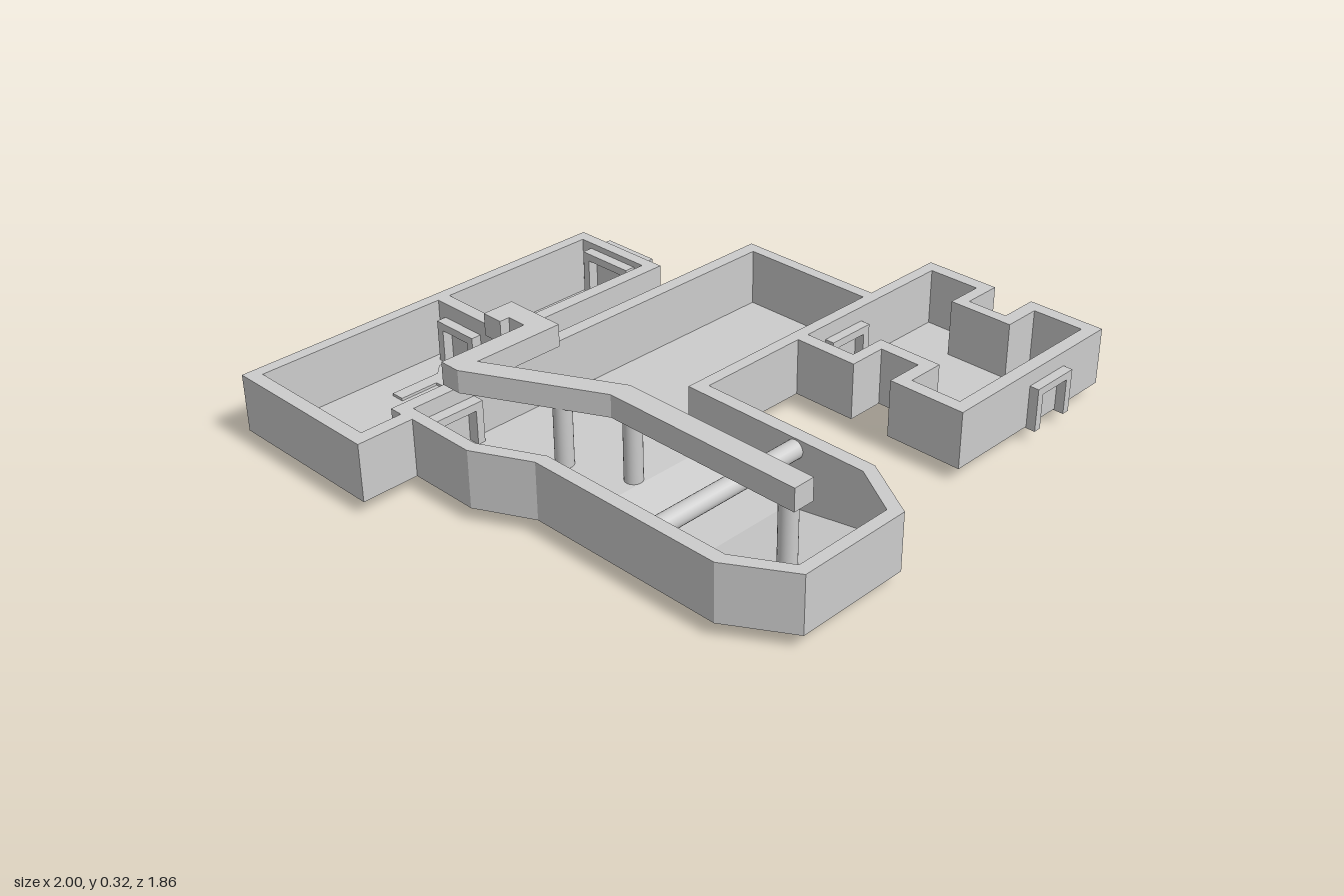
import * as THREE from 'three';

const mat = new THREE.MeshStandardMaterial({ color: 0xcccccc, flatShading: true, side: THREE.DoubleSide });
const smooth = new THREE.MeshStandardMaterial({ color: 0xcccccc });
const BASE = 0.045, TOP = 0.235;

// Plan outlines are [x, z] pairs
const outer = [
  [-1, -0.93], [0.365, -0.93], [0.365, -0.56], [-0.22, -0.56], [-0.245, -0.585], [-0.245, -0.46],
  [0.695, -0.46], [0.695, 0.06], [1, 0.06], [1, 0.32], [0.865, 0.32], [0.865, 0.46], [1, 0.46], [1, 0.725],
  [0.3, 0.725], [0.3, 0.46], [0.43, 0.46], [0.43, 0.32], [0.3, 0.32], [0.3, 0.1], [-0.09, 0.1], [-0.09, 0.725],
  [-0.21, 0.925], [-0.6, 0.925], [-0.72, 0.725], [-0.72, 0.05], [-0.81, -0.13], [-0.81, -0.37], [-1, -0.37],
];
const backRoom = [[-0.955, -0.89], [-0.295, -0.89], [-0.295, -0.46], [-0.815, -0.46], [-0.815, -0.415], [-0.955, -0.415]];
const sideRoom = [[-0.25, -0.89], [0.325, -0.89], [0.325, -0.605], [-0.205, -0.605], [-0.25, -0.645]];
const notchedRoom = [
  [0.345, 0.1], [0.955, 0.1], [0.955, 0.28], [0.825, 0.28], [0.825, 0.505], [0.955, 0.505], [0.955, 0.68],
  [0.345, 0.68], [0.345, 0.505], [0.475, 0.505], [0.475, 0.28], [0.345, 0.28],
];
const hallBack = [[-0.135, 0.12], [-0.135, 0.06], [0.655, 0.06], [0.655, -0.415], [-0.77, -0.415], [-0.77, -0.145], [-0.675, 0.05], [-0.675, 0.12]];
const hallFront = [[-0.675, 0.72], [-0.58, 0.885], [-0.235, 0.885], [-0.135, 0.72]];
const hall = [...hallBack, ...hallFront];

const toShape = pts => new THREE.Shape(pts.map(([x, z]) => new THREE.Vector2(x, -z)));

function add(group, name, geometry, material = mat) {
  const mesh = new THREE.Mesh(geometry, material);
  mesh.name = name;
  group.add(mesh);
  return mesh;
}

// Upright prism from a plan outline
function prism(pts, y0, y1, holes = []) {
  const shape = toShape(pts);
  shape.holes = holes.map(toShape);
  const g = new THREE.ExtrudeGeometry(shape, { depth: y1 - y0, bevelEnabled: false });
  return g.rotateX(-Math.PI / 2).translate(0, y0, 0);
}

// Raised surround of a doorway, standing on a wall face
function doorFrame(group, x, z, width, height, depth, alongZ) {
  const w = width / 2, t = 0.026, y0 = 0.04;
  const s = new THREE.Shape([[-w, y0], [-w, height], [w, height], [w, y0], [w - t, y0],
    [w - t, height - t], [t - w, height - t], [t - w, y0]].map(p => new THREE.Vector2(...p)));
  const g = new THREE.ExtrudeGeometry(s, { depth, bevelEnabled: false }).translate(0, 0, -depth / 2);
  const frame = add(group, 'doorFrame', g);
  frame.position.set(x, 0, z);
  if (alongZ) frame.rotation.y = Math.PI / 2;
}

export function createModel() {
  const model = new THREE.Group();

  add(model, 'walls', prism(outer, BASE, TOP, [backRoom, sideRoom, notchedRoom, hall]));

  // Flat floors
  const floors = { backRoomFloor: backRoom, sideRoomFloor: sideRoom, notchedRoomFloor: notchedRoom, hallFloor: hallBack, hallEndFloor: hallFront };
  for (const [name, pts] of Object.entries(floors)) {
    add(model, name, new THREE.ShapeGeometry(toShape(pts)).rotateX(-Math.PI / 2).translate(0, BASE, 0));
  }

  // Sunken part of the hall floor, with its two sides
  const dip = [[0.12, BASE], [0.29, 0], [0.45, 0], [0.72, BASE]];
  const sheet = new THREE.PlaneGeometry(0.54, 1, 1, 3).rotateX(-Math.PI / 2).translate(-0.405, 0, 0);
  const pos = sheet.attributes.position;
  for (let i = 0; i < pos.count; i++) {
    const [z, y] = dip[Math.floor(i / 2)];
    pos.setXYZ(i, pos.getX(i), y, z);
  }
  sheet.computeVertexNormals();
  add(model, 'sunkenFloor', sheet);
  const dipSide = new THREE.Shape(dip.map(([z, y]) => new THREE.Vector2(-z, y)));
  for (const x of [-0.675, -0.135]) {
    add(model, 'sunkenFloorSide', new THREE.ShapeGeometry(dipSide).rotateY(Math.PI / 2).translate(x, 0, 0));
  }

  // Door frames on both faces of each doorway wall
  for (const z of [-0.4775, -0.395]) doorFrame(model, -0.635, z, 0.17, 0.185, 0.038, false);
  for (const z of [0.04, 0.115]) doorFrame(model, 0.515, z, 0.172, 0.185, 0.036, false);
  for (const z of [0.658, 0.738]) doorFrame(model, 0.717, z, 0.172, 0.185, 0.038, false);
  for (const x of [-0.311, -0.23]) doorFrame(model, x, -0.775, 0.17, 0.185, 0.036, true);
  for (const x of [0.312, 0.388]) doorFrame(model, x, -0.747, 0.205, 0.215, 0.046, true);

  // Low floor channels: comb-shaped in the back room, cranked in the side room
  const comb = [
    [-0.575, -0.785], [-0.4, -0.785], [-0.365, -0.82], [-0.325, -0.82], [-0.325, -0.775], [-0.355, -0.775],
    [-0.395, -0.735], [-0.395, -0.55], [-0.575, -0.55], [-0.575, -0.595], [-0.44, -0.595], [-0.44, -0.65],
    [-0.575, -0.65], [-0.575, -0.695], [-0.44, -0.695], [-0.44, -0.74], [-0.575, -0.74],
  ];
  const crank = [[-0.21, -0.82], [-0.17, -0.82], [-0.085, -0.77], [0.3, -0.77], [0.3, -0.73], [-0.095, -0.73], [-0.18, -0.775], [-0.21, -0.775]];
  add(model, 'combChannel', prism(comb, 0.038, 0.054));
  add(model, 'crankedChannel', prism(crank, 0.038, 0.054));

  // Raised walkway on posts
  const walkway = [
    [-0.355, -0.59], [-0.245, -0.59], [-0.245, -0.375], [-0.56, -0.375], [-0.35, 0.04], [-0.35, 0.73], [-0.425, 0.73],
    [-0.425, 0.04], [-0.635, -0.375], [-0.635, -0.447], [-0.32, -0.447], [-0.32, -0.515], [-0.355, -0.515],
  ];
  add(model, 'walkway', prism(walkway, 0.245, 0.32));
  for (const [x, z] of [[-0.39, 0.68], [-0.39, 0.09], [-0.47, -0.115]]) {
    add(model, 'walkwayPost', new THREE.CylinderGeometry(0.029, 0.029, 0.215, 24), smooth).position.set(x, 0.1375, z);
  }

  // Round beam across the hall
  const beam = add(model, 'crossBeam', new THREE.CylinderGeometry(0.03, 0.03, 0.54, 24), smooth);
  beam.rotation.z = Math.PI / 2;
  beam.position.set(-0.405, 0.2, 0.475);

  return model;
}
